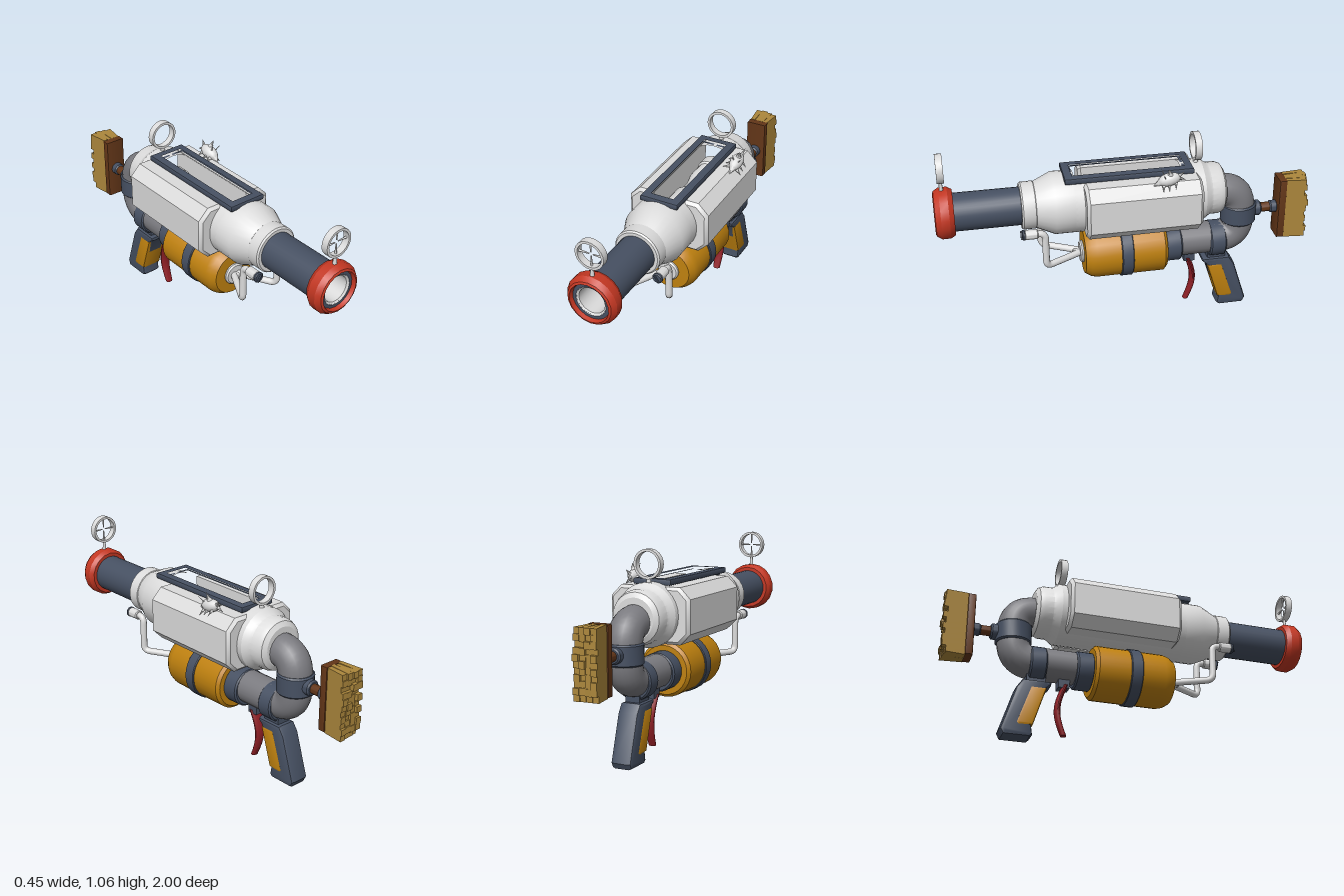
import * as THREE from 'three';
import { toCreasedNormals } from 'three/addons/utils/BufferGeometryUtils.js';

const mat = (name, color) => Object.assign(new THREE.MeshStandardMaterial({ color }), { name });
const V = (x, y, z) => new THREE.Vector3(x, y, z);

export function createModel() {
  const white = mat('white', 0xdcdcdc), slate = mat('slate', 0x465062), grey = mat('pipeGrey', 0x7b7b80);
  const orange = mat('orange', 0xbf810f), red = mat('red', 0xc43722), darkRed = mat('darkRed', 0x8f1f26);
  const brown = mat('brown', 0x633618), straw = mat('straw', 0xac873c);
  const model = new THREE.Group();
  const gun = new THREE.Group();
  gun.name = 'gun';
  gun.position.x = -0.007;
  model.add(gun);

  const add = (name, geo, material, x = 0, y = 0, z = 0, parent = gun) => {
    const m = new THREE.Mesh(geo, material);
    m.name = name;
    m.position.set(x, y, z);
    parent.add(m);
    return m;
  };
  // turned part around the z axis; profile points are [radius, z] from back to front
  const turned = (pts, sides = 28) => toCreasedNormals(
    new THREE.LatheGeometry(pts.map(p => new THREE.Vector2(...p)), sides).rotateX(Math.PI / 2), 0.5);
  const ring = (r, z0, z1, b = 0.008) => turned([[0, z0], [r - b, z0], [r, z0 + b], [r, z1 - b], [r - b, z1], [0, z1]]);
  const polygon = pts => new THREE.Shape(pts.map(p => new THREE.Vector2(...p)));
  const rect = (w, z0, z1) => [[-w, -z0], [w, -z0], [w, -z1], [-w, -z1]];
  const bevelled = (shape, depth, bevel, steps = 2) => toCreasedNormals(new THREE.ExtrudeGeometry(shape, {
    depth, bevelEnabled: bevel > 0, bevelSize: bevel, bevelThickness: bevel, bevelOffset: -bevel, bevelSegments: steps }), 0.6);
  // tube along straight runs with rounded corners
  const pipe = (pts, corner, r, segs = 48, sides = 20) => {
    const path = new THREE.CurvePath();
    let from = pts[0];
    for (let i = 1; i < pts.length - 1; i++) {
      const a = pts[i].clone().add(pts[i - 1].clone().sub(pts[i]).setLength(corner));
      const b = pts[i].clone().add(pts[i + 1].clone().sub(pts[i]).setLength(corner));
      path.add(new THREE.LineCurve3(from, a));
      path.add(new THREE.QuadraticBezierCurve3(a, pts[i], b));
      from = b;
    }
    path.add(new THREE.LineCurve3(from, pts[pts.length - 1]));
    return new THREE.TubeGeometry(path, segs, r, sides);
  };

  // Barrel
  const Y = 0.726;
  add('barrel', turned([[0.1, 0.5], [0.1, 0.978], [0.078, 0.978]]), slate, 0, Y);
  add('barrelLiner', turned([[0.081, 0.98], [0.07, 0.972], [0.07, 0.72], [0, 0.72]]), white, 0, Y);
  add('muzzleRing', turned([[0.1, 0.9], [0.12, 0.9], [0.135, 0.925], [0.135, 0.968], [0.118, 0.995],
    [0.106, 1], [0.099, 0.975]], 18), red, 0, Y);
  add('barrelCollar', ring(0.125, 0.48, 0.56), white, 0, Y);

  // Main body: two turned ends and an open-topped middle
  const R = 0.165, gap = Math.asin(0.08 / R);
  add('bodyFront', turned([[R, 0.28], [R, 0.39], [0.122, 0.485], [0, 0.485]]), white, 0, Y);
  add('bodyRear', turned([[0, -0.525], [0.105, -0.525], [0.13, -0.51], [0.14, -0.485], [0.14, -0.44],
    [0.148, -0.425], [R, -0.4], [R, -0.28]]), white, 0, Y);
  add('bodyMiddle', new THREE.CylinderGeometry(R, R, 0.58, 28, 1, true, -Math.PI + gap, 2 * Math.PI - 2 * gap)
    .rotateX(Math.PI / 2), white, 0, Y);
  for (const s of [1, -1]) {
    const half = polygon([[0.085, 0.87], [0.166, 0.87], [0.223, 0.813], [0.223, 0.637], [0.166, 0.58], [0.085, 0.58]]
      .map(([x, y]) => [s * x, y]));
    add('sideTank', bevelled(half, 0.578, 0.016, 1), white, 0, 0, -0.354);
  }

  // Open hopper with rim and the canister inside
  const frame = (w, z0, z1, t) => {
    const s = polygon(rect(w, z0, z1));
    s.holes.push(new THREE.Path(rect(w - t, z0 + t, z1 - t).map(p => new THREE.Vector2(...p))));
    return s;
  };
  add('hopperWalls', bevelled(frame(0.086, -0.305, 0.3, 0.014), 0.23, 0).rotateX(-Math.PI / 2), slate, 0, 0.66);
  add('hopperFloor', new THREE.BoxGeometry(0.16, 0.01, 0.59), slate, 0, 0.665);
  add('hopperRim', bevelled(frame(0.104, -0.34, 0.335, 0.034), 0.018, 0.007).rotateX(-Math.PI / 2), slate, 0, 0.88);
  add('canister', turned([[0, -0.285], [0.055, -0.285], [0.062, -0.27], [0.062, -0.21], [0.053, -0.2], [0.053, -0.1],
    [0.036, -0.03], [0.036, 0.02], [0.052, 0.06], [0.052, 0.19], [0.062, 0.2], [0.062, 0.25], [0.05, 0.275], [0, 0.275]], 20),
    white, 0, 0.77);

  // Ring sights
  const sightRing = () => turned([[0.063, -0.018], [0.076, -0.018], [0.076, 0.018], [0.063, 0.018], [0.063, -0.018]], 24);
  add('frontSightRing', sightRing(), white, 0, 0.98, 0.953);
  add('frontSightStem', new THREE.CylinderGeometry(0.007, 0.012, 0.07, 10), white, 0, 0.877, 0.953);
  for (let i = 0; i < 4; i++) {
    const spoke = new THREE.CylinderGeometry(0.006, 0.003, 0.056, 8).translate(0, 0.038, 0).rotateZ(i * Math.PI / 2);
    add('sightSpoke', spoke, white, 0, 0.98, 0.953);
  }
  add('rearSightRing', sightRing(), white, 0, 0.982, -0.373);
  add('rearSightBase', new THREE.CylinderGeometry(0.009, 0.016, 0.04, 10), white, 0, 0.893, -0.373);

  // Rear elbow pipe with collars
  add('elbowPipe', pipe([V(0, 0.71, -0.49), V(0, 0.71, -0.62), V(0, 0.425, -0.62), V(0, 0.425, -0.2)], 0.11, 0.088), grey);
  add('elbowCollar', ring(0.096, -0.055, 0.055).rotateX(Math.PI / 2), slate, 0, 0.57, -0.622);
  add('gripCollar', ring(0.098, -0.542, -0.453), slate, 0, 0.415);
  add('tankCollar', ring(0.102, -0.295, -0.2), slate, 0, 0.415);

  // Fuel tank
  add('tank', turned([[0, -0.206], [0.13, -0.206], [0.146, -0.19], [0.146, 0.175], [0.138, 0.205], [0.118, 0.235],
    [0, 0.237]]), orange, 0, 0.413);
  add('tankBand', ring(0.154, -0.018, 0.046, 0.004), slate, 0, 0.413);
  add('tankCap', ring(0.06, 0.23, 0.254), white, 0, 0.413);
  add('tankNozzle', ring(0.017, 0.25, 0.29, 0.005), white, 0, 0.413);

  // Feed pipes from the collar to the tank
  for (const s of [1, -1]) {
    add('feedPipe', pipe([V(s * 0.115, 0.615, 0.54), V(s * 0.115, 0.615, 0.447), V(s * 0.115, 0.415, 0.447),
      V(s * 0.012, 0.415, 0.255)], 0.035, 0.018, 40, 12), white);
    add('pipeSocket', ring(0.026, 0.485, 0.555, 0.005), white, s * 0.115, 0.615);
    add('pipeKnob', ring(0.028, 0.55, 0.568, 0.005), slate, s * 0.115, 0.615);
    add('pipeKnobRidge', new THREE.BoxGeometry(0.008, 0.046, 0.008).rotateZ(s * 0.6), slate, s * 0.115, 0.615, 0.571);
  }

  // Grip: profile is [-z, y], extruded across x
  const across = (pts, width, bevel) => bevelled(polygon(pts), width - 2 * bevel, bevel)
    .translate(0, 0, -width / 2 + bevel).rotateY(Math.PI / 2);
  add('grip', across([[0.42, 0.312], [0.57, 0.312], [0.602, 0.265], [0.677, 0.03], [0.662, 0], [0.525, 0], [0.51, 0.015],
    [0.517, 0.06], [0.442, 0.275], [0.42, 0.295]], 0.114, 0.018), slate);
  add('gripPanel', across([[0.446, 0.272], [0.528, 0.272], [0.597, 0.07], [0.585, 0.058], [0.512, 0.062]], 0.12, 0.01), orange);
  add('gripNeck', new THREE.BoxGeometry(0.08, 0.05, 0.1), slate, 0, 0.32, -0.5);

  // Trigger: a rounded bar, bent and tapered
  const bar = new THREE.CylinderGeometry(1, 1, 1, 14, 14);
  const p = bar.attributes.position;
  for (let i = 0; i < p.count; i++) {
    const t = p.getY(i) + 0.5;
    p.setXYZ(i, p.getX(i) * (0.02 + 0.018 * t), 0.042 + 0.273 * t,
      -0.34 - 0.036 * Math.sin(Math.PI * t) + p.getZ(i) * 0.016);
  }
  bar.computeVertexNormals();
  add('trigger', toCreasedNormals(bar, 0.7), darkRed);
  add('triggerMount', new THREE.BoxGeometry(0.06, 0.055, 0.06), slate, 0, 0.325, -0.35);

  // Rear brush on its stem
  add('brushSocket', ring(0.042, -0.745, -0.69), slate, 0, 0.575);
  add('brushStem', ring(0.026, -0.805, -0.74, 0.004), brown, 0, 0.575);
  add('brushCollar', ring(0.033, -0.84, -0.795), slate, 0, 0.575);
  add('brushBack', across([[0.835, 0.405], [0.875, 0.405], [0.875, 0.75], [0.835, 0.75]], 0.112, 0.006), brown);
  let seed = 7;
  const rand = () => (seed = (seed * 16807) % 2147483647) / 2147483647;
  const flare = geo => {
    const q = geo.attributes.position;
    for (let i = 0; i < q.count; i++) q.setX(i, q.getX(i) * (1 + 2.6 * (-0.87 - q.getZ(i))));
    return geo.toNonIndexed();
  };
  const bristles = new THREE.Group();
  bristles.name = 'bristles';
  gun.add(bristles);
  for (let row = 0; row < 11; row++) for (let col = 0; col < 4; col++) {
    const len = 0.102 + 0.026 * rand();
    const g = new THREE.BoxGeometry(0.0245, 0.032 + 0.006 * rand(), len)
      .rotateX((rand() - 0.5) * 0.06)
      .translate((col - 1.5) * 0.0245, 0.42 + row * 0.0312, -0.872 - len / 2);
    const tuft = flare(g);
    tuft.computeVertexNormals();
    add('bristleTuft', tuft, straw, 0, 0, 0, bristles);
  }

  // Small spiny fish ornament on the left shoulder
  const fish = new THREE.Group();
  fish.name = 'fishOrnament';
  fish.position.set(0.178, 0.893, -0.19);
  fish.rotation.set(0.2, 0, -0.3);
  gun.add(fish);
  add('fishBody', new THREE.SphereGeometry(1, 14, 10).scale(0.034, 0.034, 0.06), white, 0, 0, 0, fish);
  const spine = (name, from, to, r) => {
    const d = to.clone().sub(from);
    const m = add(name, new THREE.ConeGeometry(r, d.length(), 6), white, 0, 0, 0, fish);
    m.position.copy(from).addScaledVector(d, 0.5);
    m.quaternion.setFromUnitVectors(V(0, 1, 0), d.normalize());
  };
  spine('dorsalFin', V(0, 0.015, -0.01), V(0, 0.072, -0.005), 0.02);
  spine('fishSnout', V(0, 0, 0.04), V(0, -0.02, 0.09), 0.022);
  spine('fishTail', V(0, 0, -0.04), V(0.005, 0.03, -0.085), 0.014);
  spine('fishTail', V(0, 0, -0.04), V(0.005, -0.03, -0.085), 0.014);
  for (const s of [1, -1]) {
    spine('feeler', V(s * 0.012, 0.02, 0.02), V(s * 0.03, 0.07, 0.03), 0.004);
    for (const z of [-0.03, 0.005, 0.035]) spine('sideFin', V(s * 0.015, -0.01, z), V(s * 0.055, -0.03, z + 0.012), 0.011);
  }
  return model;
}
